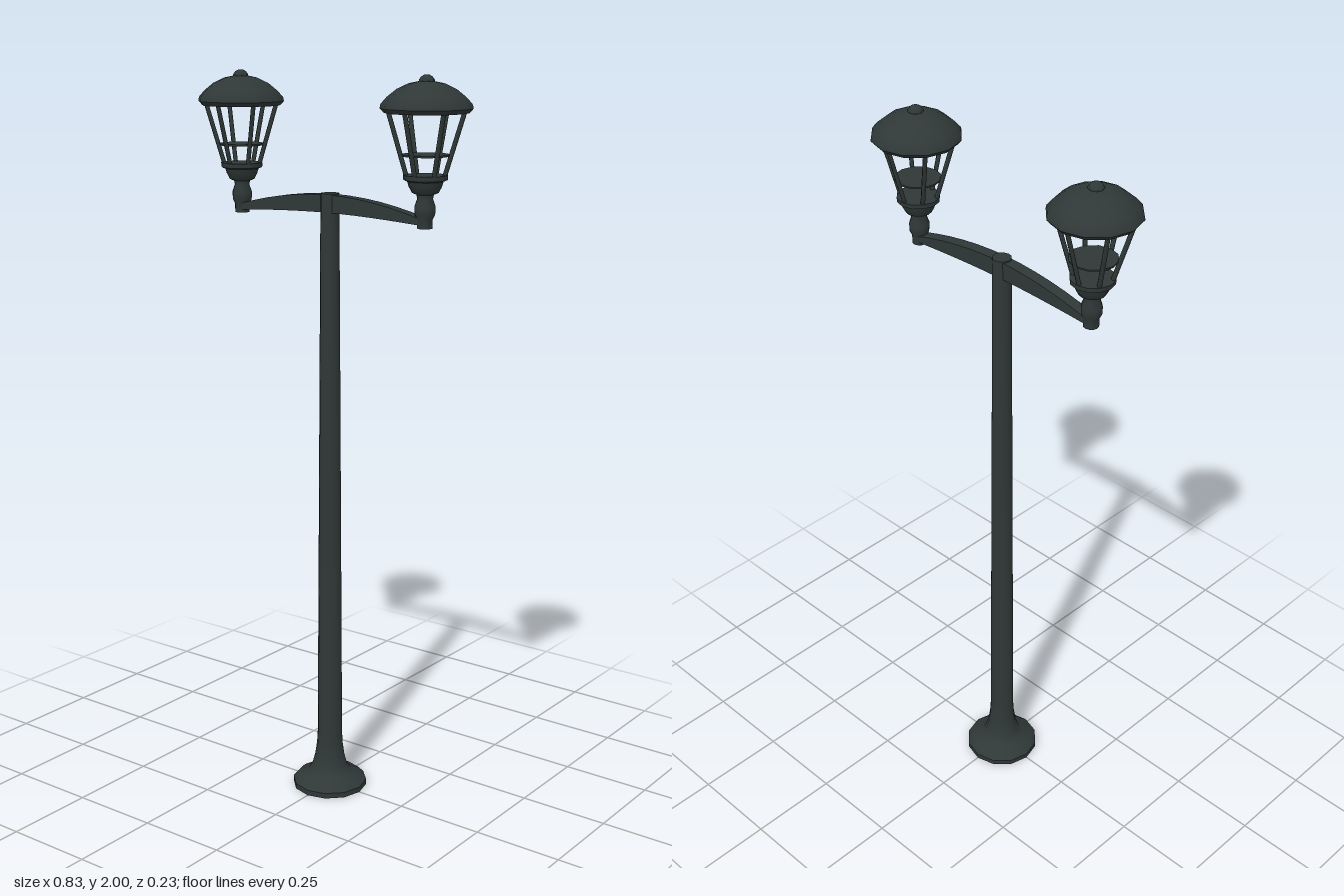
import * as THREE from 'three';
import { toCreasedNormals } from 'three/addons/utils/BufferGeometryUtils.js';

const SIDES = 12;

export function createModel() {
  const model = new THREE.Group();
  model.name = 'doubleStreetLamp';
  const iron = new THREE.MeshStandardMaterial({ color: 0x2f3837 });
  iron.name = 'dark green iron';

  const add = (parent, name, geometry) => {
    const mesh = new THREE.Mesh(geometry, iron);
    mesh.name = name;
    parent.add(mesh);
    return mesh;
  };
  // turned part from [radius, height] pairs, listed bottom to top
  const turned = (profile, sides = SIDES) => toCreasedNormals(
    new THREE.LatheGeometry(profile.map(([r, y]) => new THREE.Vector2(r, y)), sides), 0.75);

  // flared foot and tapering pole
  add(model, 'foot', turned([
    [0, 0], [0.105, 0], [0.105, 0.015], [0.09, 0.03], [0.062, 0.042],
    [0.05, 0.06], [0.042, 0.09], [0.037, 0.125], [0.035, 0.16]]));
  add(model, 'pole', turned([[0.035, 0.16], [0.025, 1.69], [0, 1.69]]));

  // arched crossarm, thick in the middle and thin at the ends
  const arch = new THREE.Shape();
  arch.moveTo(-0.3, 1.628);
  arch.quadraticCurveTo(-0.13, 1.64, 0, 1.64);
  arch.quadraticCurveTo(0.13, 1.64, 0.3, 1.628);
  arch.lineTo(0.3, 1.643);
  arch.quadraticCurveTo(0.15, 1.686, 0, 1.687);
  arch.quadraticCurveTo(-0.15, 1.686, -0.3, 1.643);
  arch.closePath();
  const armGeometry = new THREE.ExtrudeGeometry(arch, { depth: 0.032, bevelEnabled: false, curveSegments: 6 });
  armGeometry.translate(0, 0, -0.016);
  add(model, 'crossarm', toCreasedNormals(armGeometry, 0.6));

  // one lantern at each end of the crossarm
  for (const side of [-1, 1]) {
    const lantern = new THREE.Group();
    lantern.name = side > 0 ? 'leftLantern' : 'rightLantern';
    lantern.position.x = side * 0.3;
    model.add(lantern);

    add(lantern, 'stem', turned([
      [0, 1.62], [0.02, 1.62], [0.02, 1.643], [0.026, 1.655], [0.027, 1.675], [0.02, 1.695], [0.022, 1.705]]));
    add(lantern, 'cup', turned([
      [0.022, 1.705], [0.034, 1.71], [0.042, 1.725], [0.046, 1.738],
      [0.056, 1.742], [0.057, 1.754], [0, 1.754]]));
    add(lantern, 'innerDisc', new THREE.CylinderGeometry(0.061, 0.06, 0.005, SIDES)).position.y = 1.803;

    // six slanted bars between the cup and the roof
    for (let i = 0; i < 6; i++) {
      const a = i * Math.PI / 3;
      const low = new THREE.Vector3(Math.sin(a) * 0.048, 1.75, Math.cos(a) * 0.048);
      const high = new THREE.Vector3(Math.sin(a) * 0.096, 1.912, Math.cos(a) * 0.096);
      const bar = add(lantern, 'bar', new THREE.CylinderGeometry(0.006, 0.006, low.distanceTo(high), 6));
      bar.position.copy(low).lerp(high, 0.5);
      bar.quaternion.setFromUnitVectors(new THREE.Vector3(0, 1, 0), high.sub(low).normalize());
    }

    add(lantern, 'roof', turned([
      [0, 1.907], [0.107, 1.907], [0.117, 1.918], [0.115, 1.928], [0.1, 1.945],
      [0.075, 1.965], [0.045, 1.979], [0.02, 1.984], [0, 1.985]]));
    add(lantern, 'finial', turned([
      [0.02, 1.981], [0.02, 1.988], [0.014, 1.996], [0.006, 2], [0, 2]], 8));
  }
  return model;
}
